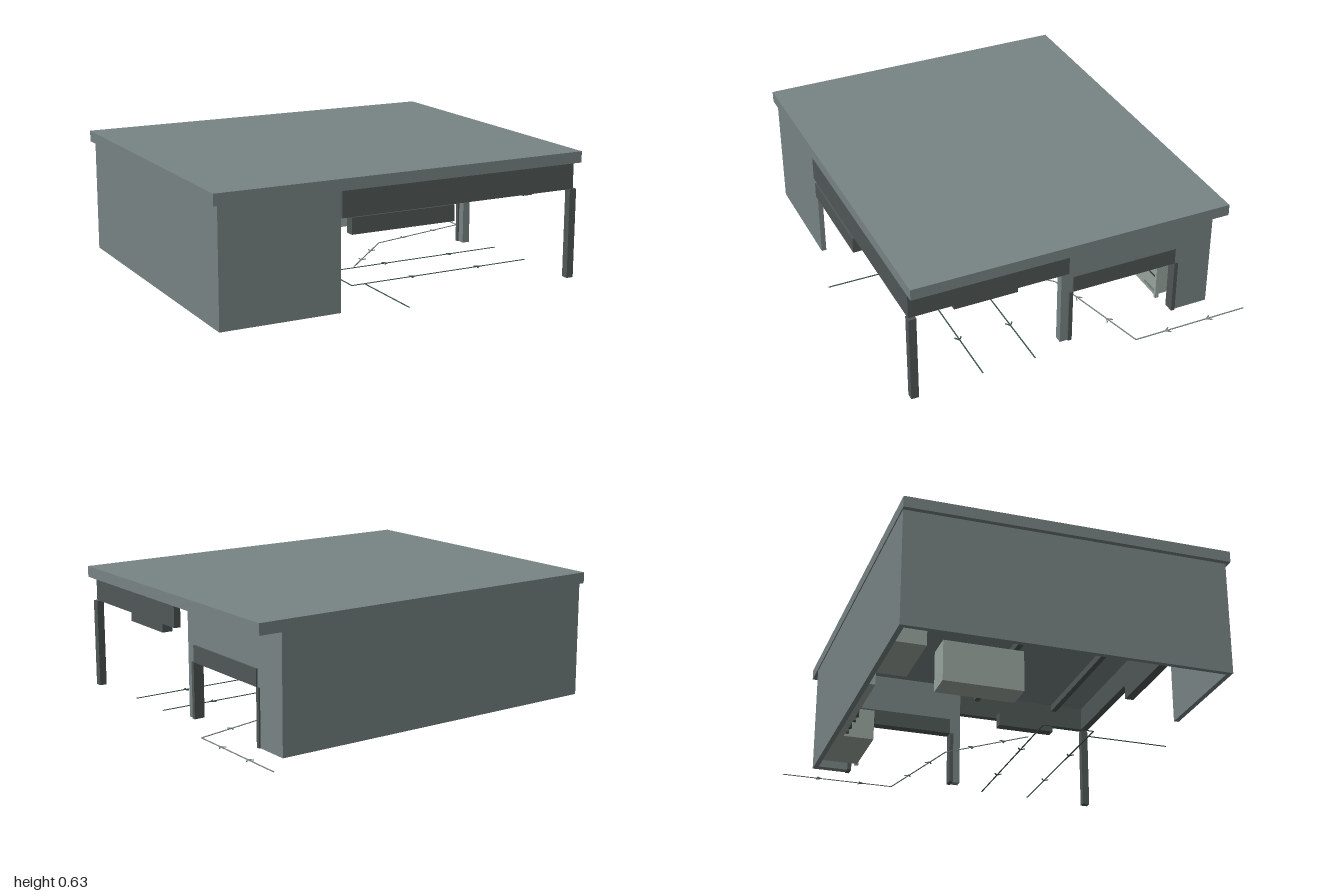
import * as THREE from 'three';

export function createModel() {
  const model = new THREE.Group();
  model.name = 'pavilion';
  const mat = (name, color) => {
    const m = new THREE.MeshStandardMaterial({ color });
    m.name = name;
    return m;
  };
  const grey = mat('slate grey', 0x788484);
  const dark = mat('dark grey', 0x505856);
  const pale = mat('pale grey green', 0x9aa6a0);
  const green = mat('dark green', 0x3c5648);
  const black = mat('charcoal', 0x343c3a);

  // Box given by its limits on each axis
  function box(name, material, x0, x1, y0, y1, z0, z1, parent = model) {
    const mesh = new THREE.Mesh(new THREE.BoxGeometry(x1 - x0, y1 - y0, z1 - z0), material);
    mesh.position.set((x0 + x1) / 2, (y0 + y1) / 2, (z0 + z1) / 2);
    mesh.name = name;
    parent.add(mesh);
    return mesh;
  }

  // Roof slab and walls
  box('roof', grey, -1, 0.95, 0.577, 0.633, -0.775, 0.84);
  box('leftWall', grey, -0.975, -0.95, 0, 0.577, -0.77, 0.825);
  box('backWall', grey, -0.95, 0.83, 0, 0.577, -0.77, -0.745);
  box('frontWall', grey, -0.95, -0.37, 0, 0.577, 0.8, 0.825);

  // Right wall with a doorway, split around the opening
  box('rightWallBack', grey, 0.79, 0.83, 0, 0.577, -0.745, -0.59);
  box('rightWallFront', grey, 0.79, 0.83, 0, 0.577, 0, 0.04);
  box('rightWallTop', grey, 0.79, 0.83, 0.37, 0.577, -0.59, 0);
  box('doorHeader', dark, 0.785, 0.838, 0.285, 0.37, -0.57, -0.02);
  for (const z of [-0.59, -0.02]) {
    box('doorJamb', dark, 0.783, 0.838, 0, 0.285, z, z + 0.02);
    box('jambTop', grey, 0.79, 0.83, 0.285, 0.37, z, z + 0.02);
  }

  // Open corner: fascias, post and hanging panels
  box('frontFascia', dark, -0.37, 0.905, 0.45, 0.577, 0.8, 0.838);
  box('sideFascia', dark, 0.87, 0.905, 0.45, 0.577, 0.04, 0.8);
  box('cornerPost', dark, 0.885, 0.922, 0, 0.45, 0.805, 0.843);
  box('frontHangingPanel', dark, -0.325, 0.22, 0.37, 0.45, 0.8, 0.847);
  box('sideHangingPanel', dark, 0.785, 0.84, 0.375, 0.45, 0.27, 0.59);

  // Ceiling beams
  for (const z of [0.16, 0.63]) box('ceilingBeam', dark, -0.37, 0.87, 0.54, 0.577, z - 0.015, z + 0.015);

  // Seams on the inner face of the back wall
  for (const x of [-0.135, 0.107, 0.335, 0.575])
    box('wallSeam', black, x - 0.002, x + 0.002, 0.16, 0.577, -0.746, -0.742);

  // Cupboard with three doors facing right
  const cupboard = new THREE.Group();
  cupboard.name = 'cupboard';
  model.add(cupboard);
  box('cupboardBody', pale, -0.48, -0.335, 0, 0.21, -0.43, -0.025, cupboard);
  for (const z of [-0.355, -0.205, -0.04])
    box('doorGap', black, -0.336, -0.333, 0.01, 0.205, z - 0.002, z + 0.002, cupboard);
  for (const z of [-0.32, -0.165])
    box('doorHandle', black, -0.336, -0.326, 0.108, 0.116, z - 0.014, z + 0.014, cupboard);

  // Low furniture along the back wall
  box('backCabinet', pale, -0.81, -0.46, 0, 0.16, -0.745, -0.6);
  box('rightCounter', pale, 0.33, 0.69, 0, 0.16, -0.745, -0.56);
  box('middleCounter', pale, -0.33, 0.33, 0, 0.16, -0.745, -0.715);
  box('counterGroove', black, -0.33, 0.33, 0.108, 0.116, -0.716, -0.713);
  box('counterGroove', black, 0.33, 0.69, 0.108, 0.116, -0.561, -0.558);
  box('baseGroove', grey, -0.33, 0.33, 0.018, 0.034, -0.716, -0.713);
  box('baseGroove', grey, 0.59, 0.69, 0.018, 0.034, -0.561, -0.558);
  for (const x of [-0.245, -0.06]) box('counterGap', grey, x - 0.003, x + 0.003, 0, 0.11, -0.716, -0.712);
  box('displayBox', dark, -0.295, 0.033, 0.125, 0.19, -0.745, -0.69);
  for (const x of [0.105, 0.262]) {
    box('standPanel', pale, x - 0.03, x + 0.03, 0.01, 0.205, -0.715, -0.7);
    for (const s of [-1, 1]) box('standEdge', black, x + s * 0.033 - 0.003, x + s * 0.033 + 0.003, 0, 0.21, -0.715, -0.698);
  }
  box('sideDoor', pale, 0.7, 0.715, 0, 0.19, -0.57, -0.55);

  // Thin route lines on the ground, with small arrowheads along each leg
  function bar(ax, az, bx, bz, material, parent) {
    const mesh = new THREE.Mesh(new THREE.BoxGeometry(Math.hypot(bx - ax, bz - az), 0.003, 0.006), material);
    mesh.position.set((ax + bx) / 2, 0.0015, (az + bz) / 2);
    mesh.rotation.y = -Math.atan2(bz - az, bx - ax);
    mesh.name = 'routeLine';
    parent.add(mesh);
  }
  function route(name, points, material) {
    const group = new THREE.Group();
    group.name = name;
    model.add(group);
    for (let i = 0; i + 1 < points.length; i++) {
      const [ax, az] = points[i], [bx, bz] = points[i + 1];
      bar(ax, az, bx, bz, material, group);
      const length = Math.hypot(bx - ax, bz - az);
      if (length < 0.45) continue;
      const angle = Math.atan2(bz - az, bx - ax);
      for (const t of [0.35, 0.73]) {
        const px = ax + (bx - ax) * t, pz = az + (bz - az) * t;
        for (const s of [-2.5, 2.5])
          bar(px, pz, px + 0.03 * Math.cos(angle + s), pz + 0.03 * Math.sin(angle + s), material, group);
      }
    }
  }
  route('sideRoute', [[0.968, -0.905], [0.968, -0.3], [0.385, -0.16], [0.05, 0.18]], grey);
  route('frontRoute', [[-0.05, 0.9], [-0.05, 0.47]], green);
  route('outerRoute', [[-0.12, 0.2], [-0.12, 0.47], [0.89, 0.47]], green);
  route('innerRoute', [[-0.12, 0.2], [0.89, 0.2]], green);

  return model;
}
